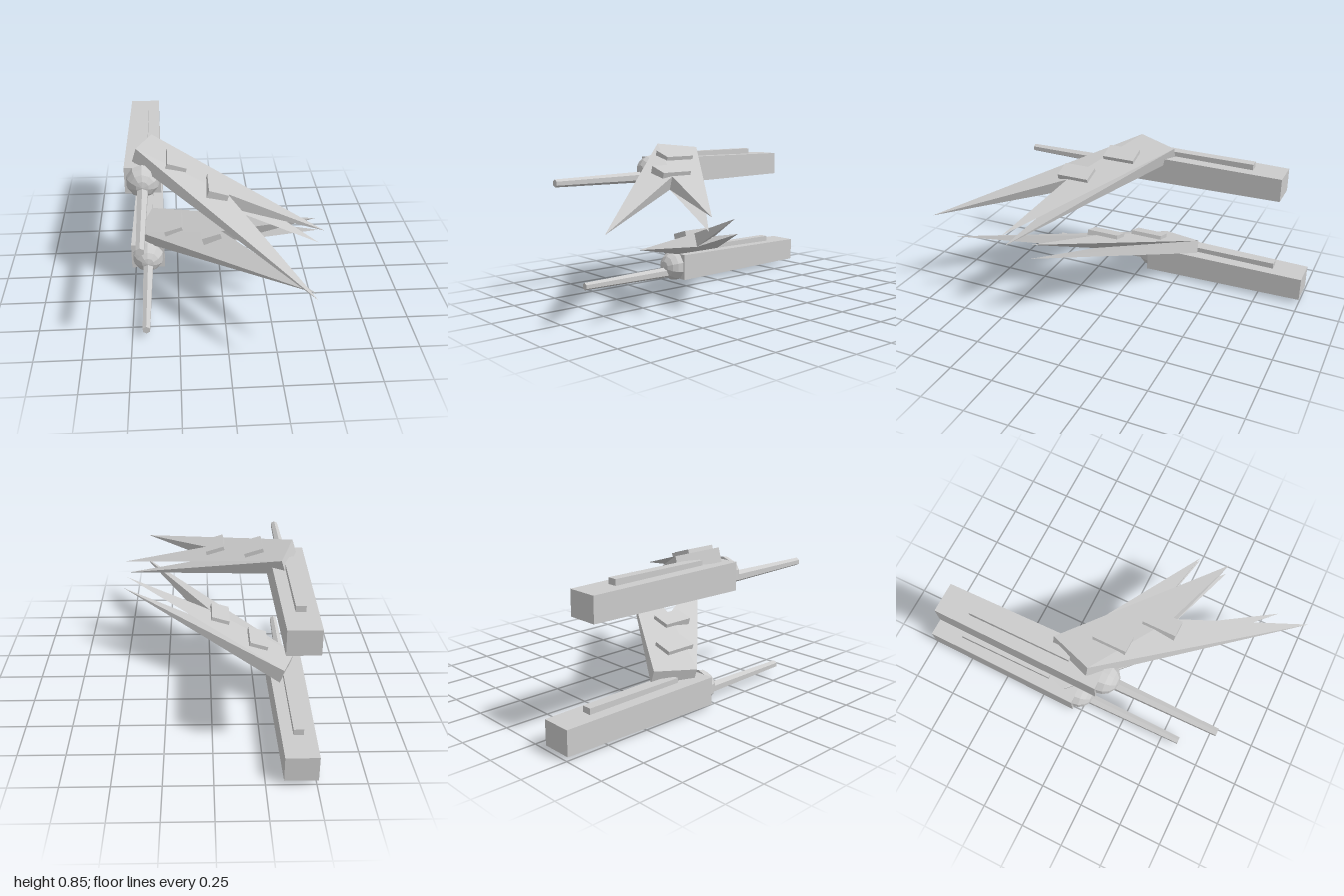
import * as THREE from 'three';

const grey = new THREE.MeshStandardMaterial({ color: 0xcccccc, flatShading: true });

function part(name, geometry, x = 0, y = 0, z = 0) {
  const mesh = new THREE.Mesh(geometry, grey);
  mesh.name = name;
  mesh.position.set(x, y, z);
  return mesh;
}

// Cylinder or prism lying along z, its first radius at the front
function alongZ(front, back, length, sides, turn = 0) {
  return new THREE.CylinderGeometry(front, back, length, sides).rotateY(turn).rotateX(Math.PI / 2);
}

// Faceted half dome with a closed back, bulging toward +z
function dome(radius) {
  const profile = [new THREE.Vector2(0, 0)];
  const steps = 4;
  for (let i = 0; i <= steps; i++) {
    const a = (i / steps) * Math.PI / 2;
    profile.push(new THREE.Vector2(radius * Math.cos(a), radius * Math.sin(a)));
  }
  return new THREE.LatheGeometry(profile, 10).rotateX(Math.PI / 2);
}

// Slab wing ending in one long front spike and a split rear spike
function wingGeometry() {
  const t = -0.077;
  const p = {
    frontTop: [0, 0, 0], frontLow: [0, t, 0],
    backTop: [0.085, 0, -0.235], backLow: [0.085, t, -0.235],
    notchTop: [0.5, 0, 0.26], notchLow: [0.5, t, 0.26],
    longTip: [0.915, t, 0.937],
    rearTipTop: [1.015, 0, 0.402], rearTipLow: [1.015, t, 0.402],
  };
  const faces = [
    // root body
    ['frontTop', 'notchTop', 'backTop'], ['frontLow', 'backLow', 'notchLow'],
    ['frontTop', 'backTop', 'backLow'], ['frontTop', 'backLow', 'frontLow'],
    // long front spike
    ['frontTop', 'longTip', 'notchTop'], ['frontLow', 'notchLow', 'longTip'],
    ['frontTop', 'frontLow', 'longTip'], ['notchTop', 'longTip', 'notchLow'],
    // upper rear spike
    ['backTop', 'notchTop', 'rearTipTop'], ['notchTop', 'notchLow', 'rearTipTop'],
    ['notchLow', 'backTop', 'rearTipTop'],
    // lower rear spike
    ['backTop', 'rearTipLow', 'backLow'], ['backLow', 'rearTipLow', 'notchLow'],
    ['notchLow', 'rearTipLow', 'backTop'],
  ];
  const g = new THREE.BufferGeometry();
  const corners = faces.flatMap((f) => f.flatMap((k) => p[k]));
  g.setAttribute('position', new THREE.Float32BufferAttribute(corners, 3));
  g.computeVertexNormals();
  return g;
}

function wing(x, y, z, tilt) {
  const group = new THREE.Group();
  group.name = 'wing';
  group.add(part('wingBlade', wingGeometry()));
  // raised plates on the upper surface
  for (const [u, w] of [[0.222, 0.038], [0.442, 0.225]]) {
    group.add(part('wingPlate', new THREE.BoxGeometry(0.107, 0.044, 0.187), u, 0, w));
  }
  group.position.set(x, y, z);
  group.rotation.z = tilt;
  return group;
}

function pod(name, y, z) {
  const group = new THREE.Group();
  group.name = name;
  group.position.set(-0.424, y, z);
  // square hull, narrowing slightly to the rear
  const hull = alongZ(0.195 / Math.SQRT2, 0.169 / Math.SQRT2, 0.95, 4, Math.PI / 4);
  hull.scale(1, 0.795, 1);
  group.add(part('hull', hull, 0, 0.095, -0.525));
  group.add(part('nose', dome(0.092), 0, 0.095, -0.052));
  group.add(part('barrel', alongZ(0.022, 0.033, 0.63, 6), 0, 0.06, 0.285));
  group.add(part('topRail', new THREE.BoxGeometry(0.052, 0.05, 0.585), 0, 0.172, -0.527));
  return group;
}

export function createModel() {
  const model = new THREE.Group();
  model.name = 'twinPodCraft';
  model.add(pod('lowerPod', 0, 0), pod('upperPod', 0.6, 0.17));
  // the two wings lean toward each other
  model.add(wing(-0.478, 0.223, -0.12, 0.299), wing(-0.456, 0.85, 0.05, -0.302));
  return model;
}
